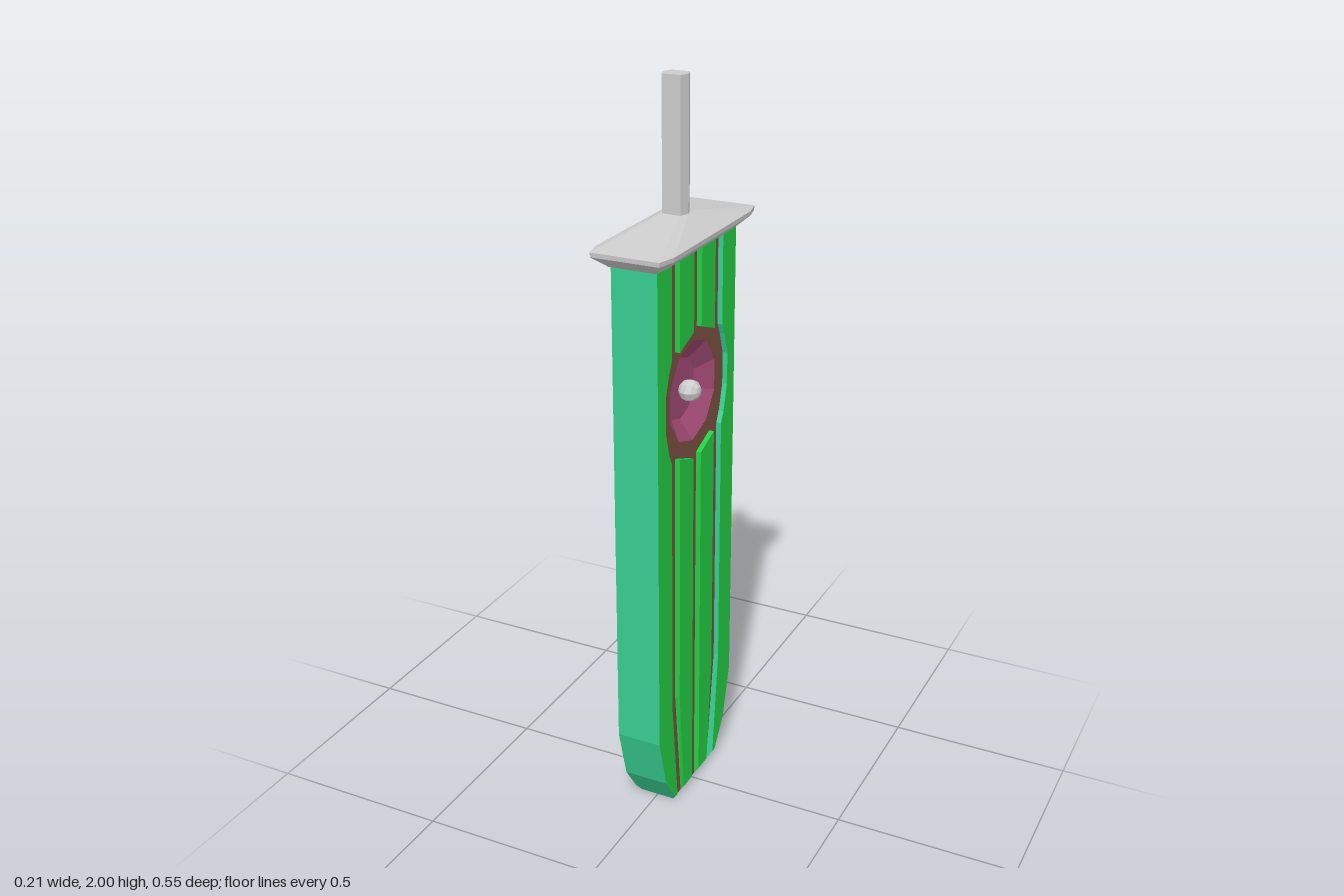
import * as THREE from 'three';

const mat = (color) => new THREE.MeshStandardMaterial({ color, flatShading: true, side: THREE.DoubleSide });
const green = mat(0x24cc44), teal = mat(0x38cc90), brown = mat(0x7a5040), pink = mat(0xa04a74), grey = mat(0xcccccc);

const CORE = 0.048, FACE = 0.062, BOWL_Y = 1.195, BOWL_R = 0.138;

// Eight-cornered horizontal section: half sizes hx, hz; the corners start at cx, cz
function section(y, hx, hz, cx, cz) {
  return [[hx, -cz], [hx, cz], [cx, hz], [-cx, hz], [-hx, cz], [-hx, -cz], [-cx, -hz], [cx, -hz]]
    .map(([x, z]) => [x, y, z]);
}

// Closed, faceted solid through a stack of sections
function loft(sections) {
  const p = [], n = 8;
  const tri = (a, b, c) => p.push(...a, ...b, ...c);
  const lo = sections[0], hi = sections[sections.length - 1];
  for (let i = 0; i < n; i++) {
    const j = (i + 1) % n;
    for (let k = 0; k < sections.length - 1; k++) {
      const a = sections[k], b = sections[k + 1];
      tri(a[i], b[i], b[j]);
      tri(a[i], b[j], a[j]);
    }
    tri([0, lo[0][1], 0], lo[i], lo[j]);
    tri([0, hi[0][1], 0], hi[j], hi[i]);
  }
  const g = new THREE.BufferGeometry();
  g.setAttribute('position', new THREE.Float32BufferAttribute(p, 3));
  g.computeVertexNormals();
  return g;
}

const shapeOf = (pts) => new THREE.Shape(pts.map(([z, y]) => new THREE.Vector2(z, y)));

export function createModel() {
  const model = new THREE.Group();
  const add = (name, geometry, material, parent = model) => {
    const m = new THREE.Mesh(geometry, material);
    m.name = name;
    parent.add(m);
    return m;
  };

  // Recessed core, two slabs back to back; the +x slab is pierced for the bowl
  const half = [[0.115, 0], [0.185, 0.1], [0.225, 0.25], [0.225, 1.58]];
  const outline = [...half, ...half.map(([z, y]) => [-z, y]).reverse()];
  for (const side of [1, -1]) {
    const shape = shapeOf(outline);
    if (side > 0) {
      const ring = [];
      for (let i = 0; i < 10; i++) {
        const a = Math.PI / 2 + (i * Math.PI) / 5;
        ring.push(new THREE.Vector2(BOWL_R * Math.cos(a), BOWL_Y + BOWL_R * Math.sin(a)));
      }
      shape.holes.push(new THREE.Path(ring));
    }
    const g = new THREE.ExtrudeGeometry(shape, { depth: CORE, bevelEnabled: false });
    g.rotateY((side * Math.PI) / 2);
    add(side > 0 ? 'rightCore' : 'leftCore', g, [brown, teal]);
  }
  add('tipPlate', new THREE.BoxGeometry(2 * CORE, 0.004, 0.23).translate(0, 0.002, 0), brown);

  // Raised panels; the gaps between them form the brown grooves
  const rim = [[0.115, 0.02], [0.129, 0.02], [0.185, 0.1], [0.225, 0.25], [0.225, 1.58], [0.147, 1.58]];
  const rimFoot = [[0.147, 0.33]];
  const bulge = [[0.147, 1.33], [0.162, 1.3], [0.182, 1.24], [0.182, 1.15], [0.162, 1.08], [0.147, 1.05]];
  const foot = [[0.102, 0.33], [0.075, 0.02], [0.022, 0.02]];
  const carved = [
    ['rimPanel', [...rim, ...bulge, ...rimFoot]],
    ['lowerPanel', [[0.022, 1.015], [0.102, 1.045], ...foot]],
    ['upperPanel', [[0.022, 1.365], [0.102, 1.335], [0.102, 1.58], [0.022, 1.58]]],
  ];
  const plain = [
    ['rimPanel', [...rim, ...rimFoot]],
    ['longPanel', [[0.022, 1.58], [0.102, 1.58], ...foot]],
  ];
  for (const side of [1, -1]) {
    const panels = new THREE.Group();
    panels.name = side > 0 ? 'carvedPanels' : 'plainPanels';
    model.add(panels);
    for (const [name, pts] of side > 0 ? carved : plain) {
      for (const m of [1, -1]) {
        const g = new THREE.ExtrudeGeometry(shapeOf(pts.map(([z, y]) => [m * z, y])), { depth: FACE - CORE, bevelEnabled: false });
        // Chamfer the foot: the inner edge drops to the ground
        const p = g.attributes.position;
        for (let i = 0; i < p.count; i++) {
          if (p.getZ(i) < 0.001 && p.getY(i) < 0.03) p.setXYZ(i, p.getX(i) * 0.9, 0, 0);
        }
        g.computeVertexNormals();
        g.translate(0, 0, CORE).rotateY((side * Math.PI) / 2);
        const face = side > 0 ? green : teal;
        add(name, g, [face, name === 'rimPanel' ? teal : face], panels);
      }
    }
  }

  // Ten-sided bowl with a small bead in its middle
  const profile = [[0, 0.012], [0.085, 0.012], [BOWL_R, CORE]].map(([r, x]) => new THREE.Vector2(r, x));
  const bowl = add('bowl', new THREE.LatheGeometry(profile, 10, Math.PI / 2).rotateZ(-Math.PI / 2), pink);
  bowl.position.y = BOWL_Y;
  const bead = add('bead', new THREE.SphereGeometry(0.03, 8, 6).rotateZ(-Math.PI / 2), grey);
  bead.position.set(0.04, BOWL_Y, 0);

  // Guard and six-sided grip
  add('guard', loft([
    section(1.578, 0.07, 0.235, 0.062, 0.19),
    section(1.608, 0.104, 0.272, 0.091, 0.22),
    section(1.62, 0.105, 0.273, 0.092, 0.22),
    section(1.66, 0.035, 0.026, 0.025, 0),
  ]), grey);
  add('grip', loft([section(1.655, 0.035, 0.026, 0.025, 0), section(2, 0.035, 0.026, 0.025, 0)]), grey);

  return model;
}
